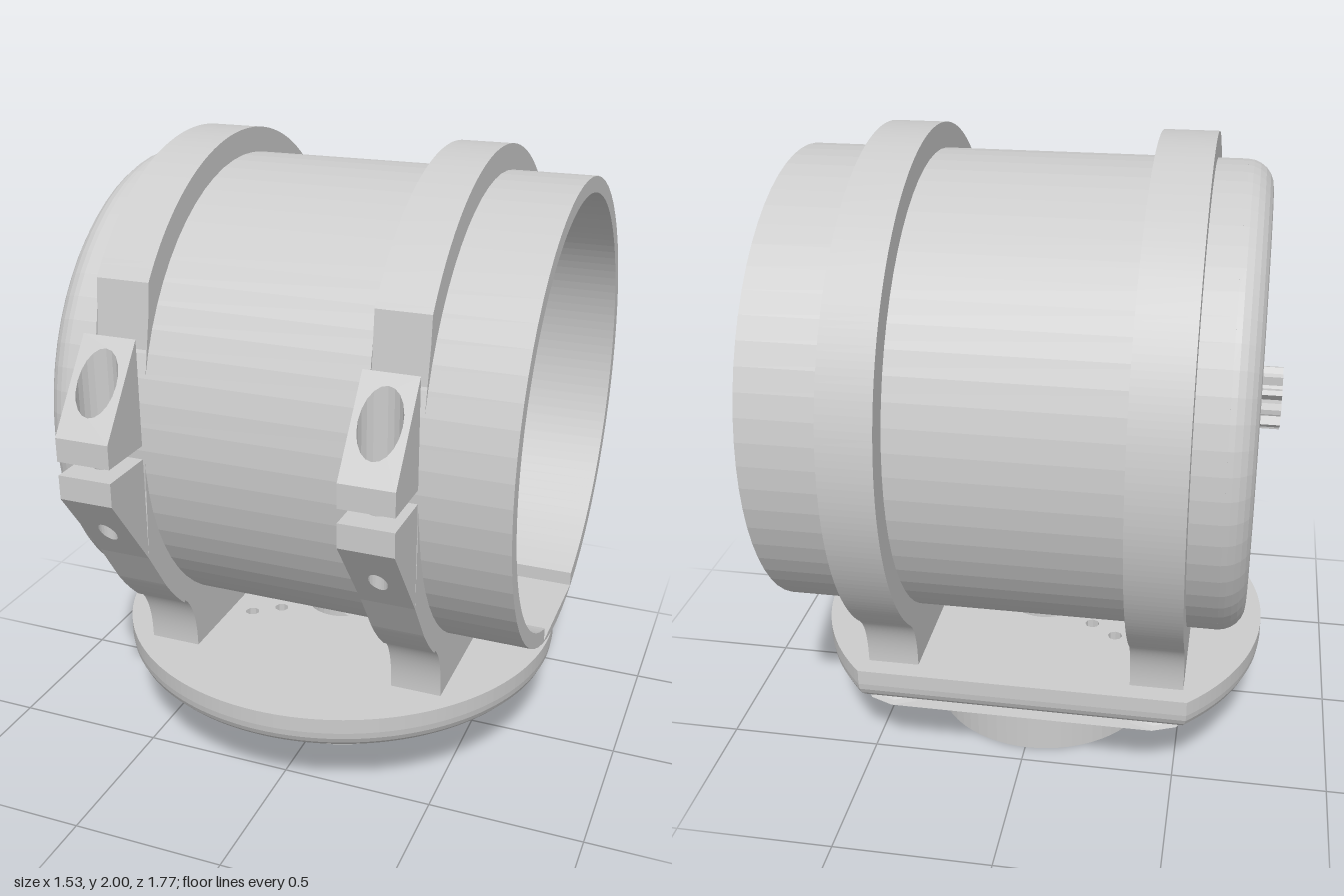
import * as THREE from 'three';

const CY = 1.178, CZ = -0.055;      // barrel axis (runs along x)
const BX = -0.01;                   // base centre in x
const SEG = 64;
const mat = new THREE.MeshStandardMaterial({ color: 0xcccccc, flatShading: true, side: THREE.DoubleSide });

function mesh(name, geo) {
  const m = new THREE.Mesh(geo, mat);
  m.name = name;
  return m;
}

// Regular polygon outline, used for discs and holes
function ring(u, v, r, n = SEG, Type = THREE.Path) {
  const pts = [];
  for (let i = 0; i < n; i++) {
    const a = (i / n) * Math.PI * 2;
    pts.push(new THREE.Vector2(u + r * Math.cos(a), v + r * Math.sin(a)));
  }
  return new Type(pts);
}
const disc = (u, v, r) => ring(u, v, r, SEG, THREE.Shape);

// Evenly spaced holes on a circle
function boltCircle(shape, u, v, radius, count, r, start = 0) {
  for (let i = 0; i < count; i++) {
    const a = start + (i / count) * Math.PI * 2;
    shape.holes.push(ring(u + radius * Math.cos(a), v + radius * Math.sin(a), r, 8));
  }
}

// Shape drawn in (z, y), extruded between two x positions
function alongX(shape, x0, x1) {
  const g = new THREE.ExtrudeGeometry(shape, { depth: x1 - x0, bevelEnabled: false, curveSegments: SEG });
  return g.rotateY(-Math.PI / 2).translate(x1, 0, 0);
}

// Shape drawn in (x, z), extruded between two heights
function alongY(shape, y0, y1) {
  const g = new THREE.ExtrudeGeometry(shape, { depth: y1 - y0, bevelEnabled: false, curveSegments: SEG });
  return g.rotateX(Math.PI / 2).translate(0, y1, 0);
}

function barrel() {
  const g = new THREE.Group();
  g.name = 'barrel';

  // Tube with a flat-floored groove along the inside bottom
  const tube = disc(CZ, CY, 0.745);
  const bore = new THREE.Path();
  const half = Math.asin(0.2 / 0.695), down = -Math.PI / 2;
  bore.absarc(CZ, CY, 0.695, down + half, down - half + Math.PI * 2, false);
  bore.lineTo(CZ - 0.2, CY - 0.713);
  bore.lineTo(CZ + 0.2, CY - 0.713);
  bore.closePath();
  tube.holes.push(bore);
  g.add(mesh('tube', alongX(tube, -0.62, 0.765)));

  // Rounded rim of the end cap
  const pts = [];
  for (let i = 0; i <= 6; i++) {
    const a = (i / 6) * Math.PI / 2;
    pts.push(new THREE.Vector2(0.66 + 0.085 * Math.cos(a), 0.615 + 0.085 * Math.sin(a)));
  }
  const rim = new THREE.LatheGeometry(pts, SEG).rotateZ(Math.PI / 2).translate(0, CY, CZ);
  g.add(mesh('capRim', rim));

  // Cap face: round window with a tongue reaching in to the hub
  const face = (r, boltR) => {
    const s = disc(CZ, CY, r);
    const w = new THREE.Path();
    const a = Math.asin(0.125 / 0.4);
    w.absarc(CZ, CY, 0.4, a, Math.PI * 2 - a, false);
    w.lineTo(CZ + 0.07, CY - 0.125);
    w.quadraticCurveTo(CZ - 0.095, CY - 0.11, CZ - 0.095, CY);
    w.quadraticCurveTo(CZ - 0.095, CY + 0.11, CZ + 0.07, CY + 0.125);
    w.closePath();
    s.holes.push(w, ring(CZ, CY, 0.04, 16));
    boltCircle(s, CZ, CY, 0.6, 10, boltR, Math.PI / 2);
    return s;
  };
  g.add(mesh('capFace', alongX(face(0.66, 0.042), -0.7, -0.67)));
  g.add(mesh('capPlate', alongX(face(0.67, 0.022), -0.67, -0.6)));

  // Inner flange with its bolt holes
  const flange = disc(CZ, CY, 0.72);
  flange.holes.push(ring(CZ, CY, 0.287));
  boltCircle(flange, CZ, CY, 0.34, 8, 0.026);
  boltCircle(flange, CZ, CY, 0.637, 6, 0.024);
  g.add(mesh('innerFlange', alongX(flange, -0.6, -0.56)));

  // Fluted hub on the tongue
  const teeth = [];
  for (let i = 0; i < 40; i++) {
    const a = (i / 40) * Math.PI * 2, r = i % 4 < 2 ? 0.1 : 0.075;
    teeth.push(new THREE.Vector2(CZ + r * Math.cos(a), CY + r * Math.sin(a)));
  }
  const hub = new THREE.Shape(teeth);
  hub.holes.push(ring(CZ, CY, 0.04, 16));
  g.add(mesh('hub', alongX(hub, -0.77, -0.69)));
  return g;
}

// Split clamp: ring, foot and the two screw lugs
function clamp(name, x0, x1) {
  const g = new THREE.Group();
  g.name = name;
  const d = Math.PI / 180, R = 0.825, Z0 = 0.7, Z1 = 0.89;
  const topY = z => 1.272 + (Z1 - z) * 1.345;
  const lowY = z => 1.08 - (Z1 - z) * 1.345;

  const s = new THREE.Shape();
  s.moveTo(Z0, topY(Z0));
  s.absarc(CZ, CY, R, 36.6 * d, 228.5 * d, false);
  s.quadraticCurveTo(-0.52, 0.5, -0.52, 0.355);
  s.lineTo(0.41, 0.355);
  s.quadraticCurveTo(0.41, 0.5, 0.485, 0.565);
  s.absarc(CZ, CY, R, 311.5 * d, 323.4 * d, false);
  s.lineTo(Z0, lowY(Z0));
  s.closePath();
  s.holes.push(ring(CZ, CY, 0.742));
  g.add(mesh('clampRing', alongX(s, x0, x1)));

  const lug = (label, r, y0, y1, low, high) => {
    const b = new THREE.Shape();
    b.moveTo(x0, Z0).lineTo(x1, Z0).lineTo(x1, Z1).lineTo(x0, Z1).closePath();
    b.holes.push(ring((x0 + x1) / 2, 0.785, r, 20));
    const geo = alongY(b, y0, y1), p = geo.attributes.position;
    // Slope the end faces
    for (let i = 0; i < p.count; i++) {
      const isTop = p.getY(i) > (y0 + y1) / 2;
      if (isTop && high) p.setY(i, high(p.getZ(i)));
      if (!isTop && low) p.setY(i, low(p.getZ(i)));
    }
    geo.computeVertexNormals();
    g.add(mesh(label, geo));
  };
  lug('upperLugSeat', 0.028, 1.198, 1.25);
  lug('upperLugCounterbore', 0.063, 1.25, 1.5, null, topY);
  lug('lowerLug', 0.028, 0.9, 1.155, lowY, null);
  return g;
}

function base() {
  const g = new THREE.Group();
  g.name = 'base';
  const FLAT = -0.585, R = 0.75;
  const outline = () => {
    const a = Math.asin((FLAT - CZ) / R);
    const s = new THREE.Shape();
    s.absarc(BX, CZ, R, a, Math.PI - a, false);
    s.closePath();
    boltCircle(s, BX, CZ, 0.6, 4, 0.035, Math.PI / 4);
    return s;
  };
  // Centre bore and two short arcs of small holes
  const drill = s => {
    s.holes.push(ring(BX, CZ, 0.12, 32));
    for (const k of [-1, 0, 1]) for (const r of [0.225, 0.33]) {
      const a = Math.PI + k * Math.PI / 5;
      s.holes.push(ring(BX + r * Math.cos(a), CZ + r * Math.sin(a), 0.024, 8));
    }
    return s;
  };
  g.add(mesh('basePlate', alongY(drill(outline()), 0.31, 0.355)));

  // Rounded underside; the bevel also countersinks the screw holes
  const under = outline();
  under.holes.push(ring(BX, CZ, 0.315));
  const geo = new THREE.ExtrudeGeometry(under, {
    depth: 0.005, bevelThickness: 0.07, bevelSize: 0.065, bevelOffset: -0.065 + 0.065, bevelSegments: 5, curveSegments: SEG,
  });
  geo.dispose();
  const rounded = new THREE.ExtrudeGeometry(under, {
    depth: 0.005, bevelThickness: 0.07, bevelSize: 0.065, bevelOffset: -0.065, bevelSegments: 5, curveSegments: SEG,
  });
  const p = rounded.attributes.position;
  for (let i = 0; i < p.count; i++) p.setZ(i, Math.max(0, p.getZ(i)));
  rounded.computeVertexNormals();
  g.add(mesh('baseUnderside', rounded.rotateX(Math.PI / 2).translate(0, 0.31, 0)));

  g.add(mesh('baseStub', alongY(drill(disc(BX, CZ, 0.38)), 0, 0.31)));
  return g;
}

export function createModel() {
  const model = new THREE.Group();
  model.name = 'motorMount';
  model.add(barrel(), clamp('capEndClamp', -0.525, -0.355), clamp('openEndClamp', 0.335, 0.5), base());
  return model;
}
